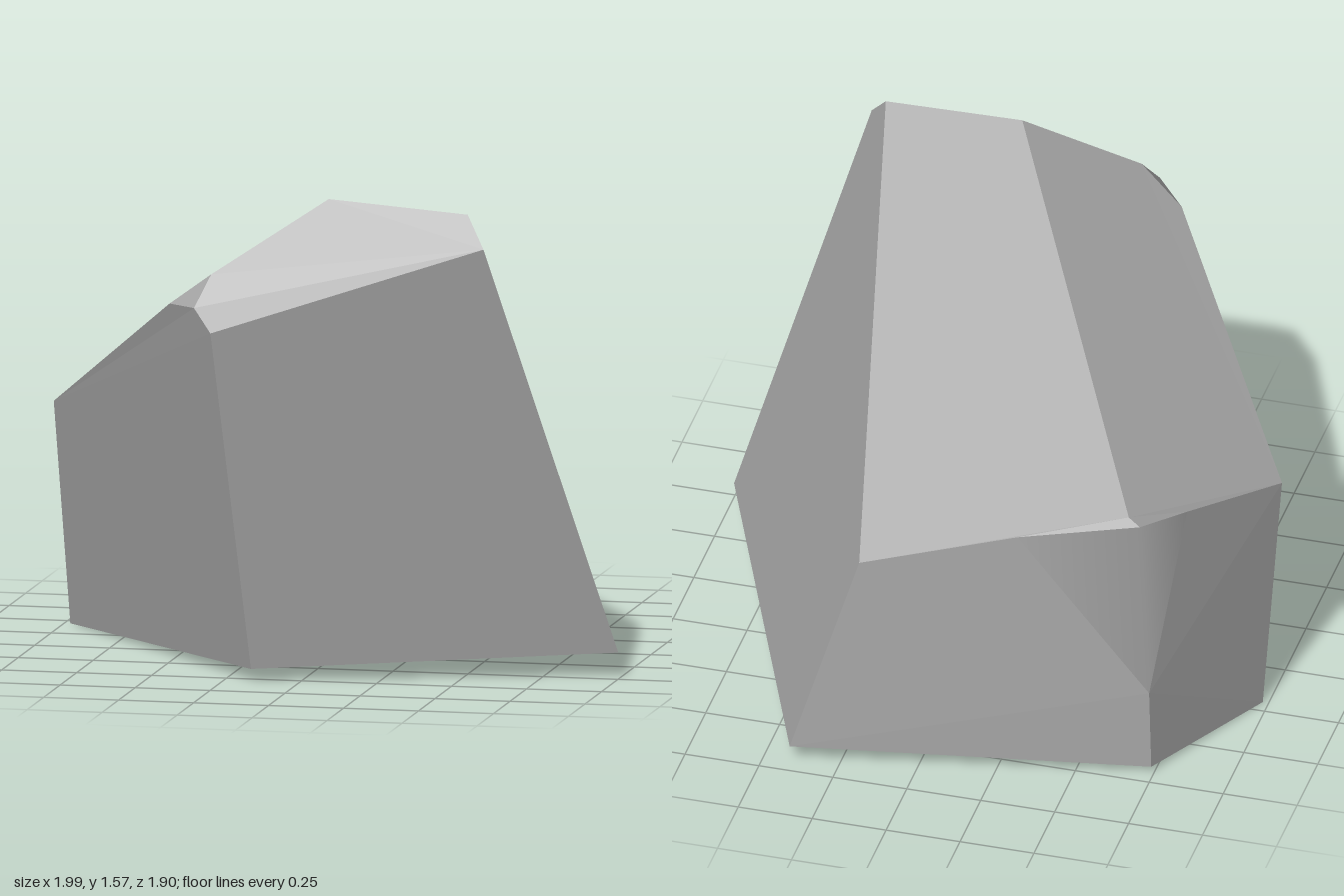
import * as THREE from 'three';

// Corners of the faceted boulder
const P = {
  // base
  baseLeft: [-0.98, 0, -0.2], baseFront: [-0.16, 0.04, 0.79], baseRight: [0.99, 0.08, 0.45],
  baseBack: [0.41, 0.06, -0.95], baseCorner: [-0.74, 0.02, -0.69],
  // shoulders
  side: [-1, 0.76, -0.04], frontTop: [-0.26, 1.17, 0.95], rightTop: [0.6, 1.44, 0.72],
  backTop: [0.2, 0.76, -0.86],
  // peak
  peakA: [0.06, 1.57, 0.61], peakB: [0.53, 1.54, 0.64],
  // chipped front corner
  chipTop: [-0.29, 1.34, 0.8], chipFront: [-0.33, 1.24, 0.88], chipSide: [-0.44, 1.23, 0.75],
  // worn back corner
  wornLow: [-0.73, 0.3, -0.68], wornBack: [-0.3, 0.87, -0.735], wornSide: [-0.79, 0.865, -0.435],
  wornTop: [-0.65, 0.95, -0.64], wornLip: [-0.69, 0.925, -0.65],
};

// Flat facets, each a loop of corners
const FACETS = [
  'baseLeft baseFront baseRight baseBack baseCorner',
  'baseFront baseRight rightTop frontTop',
  'baseRight baseBack backTop peakB rightTop',
  'rightTop peakB peakA chipTop chipFront frontTop',
  'wornTop wornBack backTop peakB peakA',
  'side wornSide wornTop peakA chipTop chipSide',
  'side baseLeft baseFront frontTop chipFront chipSide',
  'chipSide chipTop chipFront',
  'wornLow wornBack backTop baseBack baseCorner',
  'wornLow wornSide side baseLeft baseCorner',
  'wornBack wornTop wornLip',
  'wornSide wornLip wornTop',
];
// Facets of the worn corner, shaded smoothly
const SMOOTH = ['wornLow wornBack wornLip', 'wornLow wornLip wornSide'];

const CENTER = new THREE.Vector3(0, 0.6, 0);
const point = (name) => new THREE.Vector3(...P[name]);
const faceNormal = (a, b, c) => b.clone().sub(a).cross(c.clone().sub(a)).normalize();

function buildRock() {
  const positions = [], normals = [];
  // Smooth normals blend from the back wall to the side wall
  const back = faceNormal(point('backTop'), point('baseBack'), point('baseCorner'));
  const side = faceNormal(point('side'), point('baseCorner'), point('baseLeft'));
  if (back.z > 0) back.negate();
  if (side.x > 0) side.negate();
  const blend = back.clone().add(side).normalize();
  const soft = { wornBack: back, wornSide: side, wornLow: blend, wornLip: blend };

  const addFacet = (loop, smooth) => {
    const names = loop.split(' ');
    for (let i = 1; i < names.length - 1; i++) {
      let tri = [names[0], names[i], names[i + 1]];
      let n = faceNormal(...tri.map(point));
      // Turn every triangle outward
      if (n.dot(point(tri[0]).sub(CENTER)) < 0) {
        tri.reverse();
        n.negate();
      }
      for (const name of tri) {
        positions.push(...P[name]);
        normals.push(...(smooth ? soft[name] : n).toArray());
      }
    }
  };
  FACETS.forEach((f) => addFacet(f, false));
  SMOOTH.forEach((f) => addFacet(f, true));

  const geometry = new THREE.BufferGeometry();
  geometry.setAttribute('position', new THREE.Float32BufferAttribute(positions, 3));
  geometry.setAttribute('normal', new THREE.Float32BufferAttribute(normals, 3));
  return geometry;
}

export function createModel() {
  const group = new THREE.Group();
  group.name = 'boulder';
  const stone = new THREE.MeshStandardMaterial({ color: 0xa6a6a6 });
  stone.name = 'grey stone';
  const rock = new THREE.Mesh(buildRock(), stone);
  rock.name = 'rock';
  group.add(rock);
  return group;
}
